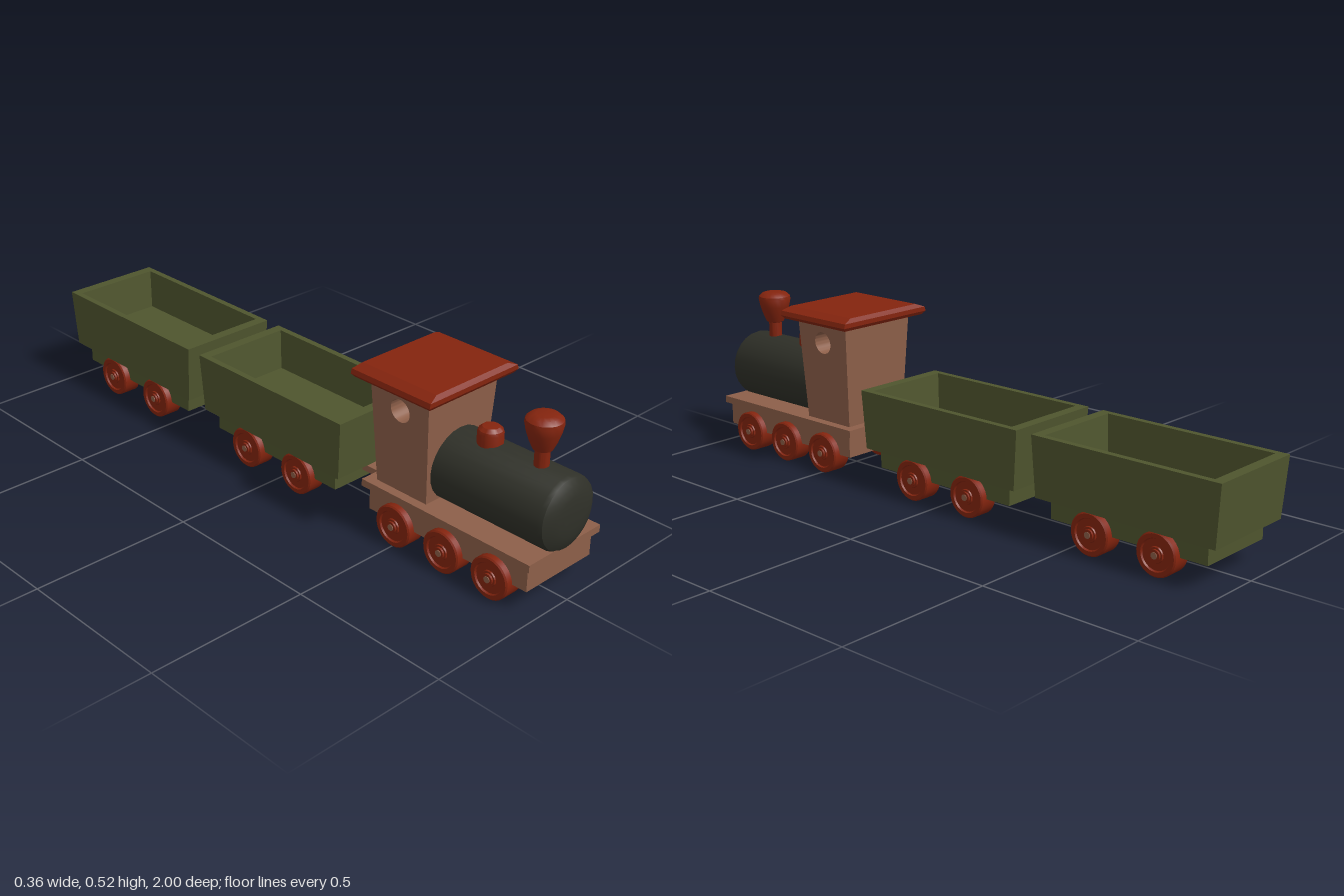
import * as THREE from 'three';
import { toCreasedNormals } from 'three/addons/utils/BufferGeometryUtils.js';

const paint = (name, hex) => {
  const m = new THREE.MeshStandardMaterial({ color: hex });
  m.name = name;
  return m;
};

// Stack of rectangular rings [y, halfX, halfZ], capped at the first and last ring
function rectLoft(rings) {
  const corners = [[1, 1], [1, -1], [-1, -1], [-1, 1]];
  const pts = rings.map(([y, hx, hz]) => corners.map(([sx, sz]) => [sx * hx, y, sz * hz]));
  const pos = [];
  const quad = (a, b, c, d) => pos.push(...a, ...b, ...c, ...a, ...c, ...d);
  for (let i = 0; i < pts.length - 1; i++) {
    for (let j = 0; j < 4; j++) {
      const k = (j + 1) % 4;
      quad(pts[i][j], pts[i][k], pts[i + 1][k], pts[i + 1][j]);
    }
  }
  const first = pts[0], last = pts[pts.length - 1];
  quad(first[3], first[2], first[1], first[0]);
  quad(last[0], last[1], last[2], last[3]);
  const g = new THREE.BufferGeometry();
  g.setAttribute('position', new THREE.Float32BufferAttribute(pos, 3));
  g.computeVertexNormals();
  return g;
}

// Turned part from [radius, height] points
function turned(profile, segments = 24) {
  const g = new THREE.LatheGeometry(profile.map(([r, y]) => new THREE.Vector2(r, y)), segments);
  return toCreasedNormals(g, 0.5);
}

export function createModel() {
  const brown = paint('brown wood', 0x8d5f49);
  const red = paint('dark red', 0x84240e);
  const green = paint('olive green', 0x4f552e);
  const black = paint('boiler black', 0x2f3028);

  const train = new THREE.Group();
  train.name = 'toyTrain';

  const add = (parent, name, geometry, material, x = 0, y = 0, z = 0) => {
    const mesh = new THREE.Mesh(geometry, material);
    mesh.name = name;
    mesh.position.set(x, y, z);
    parent.add(mesh);
    return mesh;
  };
  const box = (parent, name, material, hx, y0, y1, z0, z1) =>
    add(parent, name, new THREE.BoxGeometry(2 * hx, y1 - y0, z1 - z0), material,
      0, (y0 + y1) / 2, (z0 + z1) / 2);

  // Wheel sets: axle, end pins and two wheels with a shallow dish
  const wheelGeo = turned([[0, 0.091], [0.06, 0.091], [0.064, 0.095], [0.064, 0.15], [0.06, 0.154],
    [0.048, 0.154], [0.045, 0.149], [0.024, 0.149], [0.022, 0.153], [0, 0.153]], 28);
  const axleGeo = new THREE.CylinderGeometry(0.017, 0.017, 0.318, 16);
  const pinGeo = new THREE.CylinderGeometry(0.01, 0.01, 0.322, 12);
  const wheelSet = (parent, z) => {
    const set = new THREE.Group();
    set.name = 'wheelSet';
    set.position.set(0, 0.065, z);
    add(set, 'axle', axleGeo, red).rotation.z = Math.PI / 2;
    add(set, 'axlePin', pinGeo, brown).rotation.z = Math.PI / 2;
    add(set, 'leftWheel', wheelGeo, red).rotation.z = -Math.PI / 2;
    add(set, 'rightWheel', wheelGeo, red).rotation.z = Math.PI / 2;
    parent.add(set);
  };

  // Locomotive chassis
  const loco = new THREE.Group();
  loco.name = 'locomotive';
  train.add(loco);
  box(loco, 'chassis', brown, 0.132, 0.068, 0.142, 0.39, 0.965);
  box(loco, 'deck', brown, 0.147, 0.141, 0.163, 0.372, 0.98);
  for (const z of [0.853, 0.68, 0.5]) wheelSet(loco, z);

  // Boiler lying along z with a rounded nose
  const boiler = turned([[0, 0.57], [0.11, 0.57], [0.11, 0.965], [0.105, 0.978],
    [0.085, 0.99], [0.06, 0.997], [0.033, 1], [0, 1]]);
  boiler.rotateX(Math.PI / 2);
  add(loco, 'boiler', boiler, black, 0, 0.255, 0);

  // Chimney and steam dome
  add(loco, 'chimney', turned([[0.021, 0.34], [0.021, 0.41], [0.028, 0.413], [0.038, 0.435],
    [0.048, 0.465], [0.053, 0.49], [0.051, 0.499], [0.04, 0.509], [0.025, 0.513], [0, 0.513]]),
  red, 0, 0, 0.882);
  add(loco, 'steamDome', turned([[0.037, 0.33], [0.037, 0.392], [0.034, 0.401],
    [0.024, 0.41], [0, 0.413]]), red, 0, 0, 0.707);

  // Cab: side outline with a round window through it, flared towards the top
  const side = new THREE.Shape();
  side.moveTo(0.404, 0.16);
  side.lineTo(0.592, 0.16);
  side.lineTo(0.607, 0.49);
  side.lineTo(0.391, 0.49);
  side.closePath();
  const porthole = new THREE.Path();
  porthole.absarc(0.5, 0.422, 0.035, 0, Math.PI * 2, true);
  side.holes.push(porthole);
  let cab = new THREE.ExtrudeGeometry(side, { depth: 2, bevelEnabled: false, curveSegments: 20 });
  cab.translate(0, 0, -1);
  cab.rotateY(-Math.PI / 2);
  const p = cab.attributes.position;
  for (let i = 0; i < p.count; i++) {
    p.setX(i, p.getX(i) * (0.118 + (p.getY(i) - 0.16) * 0.061));
  }
  cab = toCreasedNormals(cab, 0.5);
  add(loco, 'cab', cab, brown);
  add(loco, 'roof', rectLoft([[0.486, 0.168, 0.138], [0.497, 0.178, 0.146],
    [0.511, 0.174, 0.146], [0.523, 0.142, 0.136]]), red, 0, 0, 0.499);

  // Open wagons: the loft climbs the outside, crosses the rim and drops to the floor
  const tubGeo = rectLoft([[0.128, 0.157, 0.298], [0.312, 0.163, 0.311],
    [0.312, 0.143, 0.278], [0.185, 0.136, 0.268]]);
  for (const z of [-0.012, -0.688]) {
    const wagon = new THREE.Group();
    wagon.name = 'wagon';
    wagon.position.z = z;
    box(wagon, 'wagonFrame', green, 0.132, 0.068, 0.13, -0.261, 0.261);
    add(wagon, 'wagonTub', tubGeo, green);
    for (const dz of [0.111, -0.111]) wheelSet(wagon, dz);
    train.add(wagon);
  }

  // Coupling bars
  box(train, 'frontCoupling', brown, 0.02, 0.092, 0.113, 0.24, 0.4);
  box(train, 'rearCoupling', brown, 0.02, 0.092, 0.113, -0.435, -0.265);
  return train;
}
